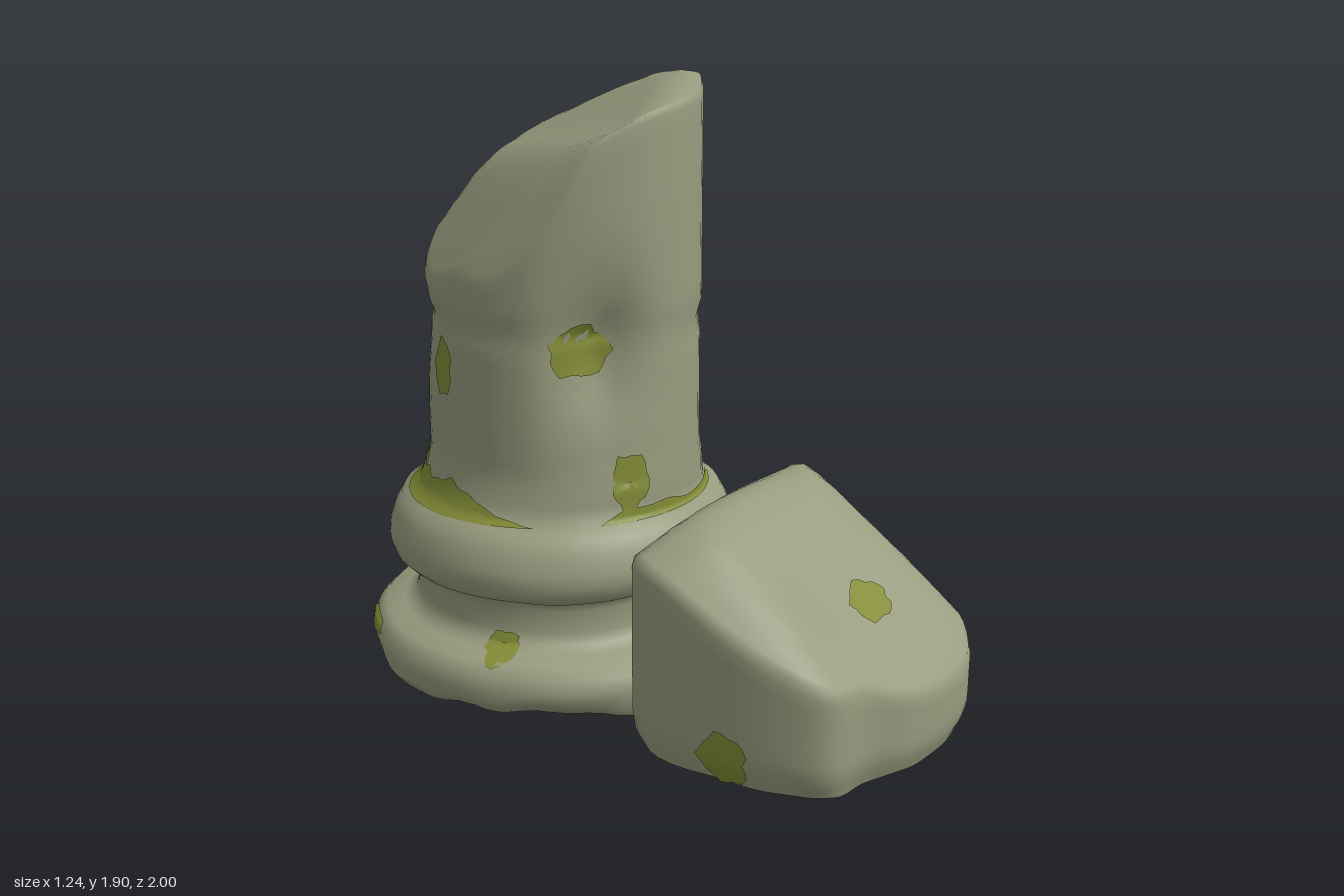
import * as THREE from 'three';

const stone = new THREE.MeshStandardMaterial({ color: 0x989b7e, side: THREE.DoubleSide });
stone.name = 'weathered stone';
const moss = new THREE.MeshStandardMaterial({ color: 0x828c36, side: THREE.DoubleSide });
moss.name = 'moss';

const SEGS = 72;
const rad = THREE.MathUtils.degToRad;
const bump = (d, w) => Math.exp(-(d * d) / (w * w));
const smin = (k, ...v) => v.reduce((a, b) => {
  const h = Math.max(k - Math.abs(a - b), 0) / k;
  return Math.min(a, b) - h * h * k * 0.25;
});
const wobble = (a, s = 0) => Math.sin(5 * a + s) * 0.5 + Math.sin(9 * a + 2 * s + 1) * 0.3 + Math.sin(17 * a + s) * 0.2;
const angDiff = (a, b) => Math.atan2(Math.sin(a - b), Math.cos(a - b));

// Grid of points joined into a surface; columns wrap round when closed
function loft(rows, cols, closed, point) {
  const pos = [], idx = [], n = closed ? cols : cols + 1;
  for (let j = 0; j <= rows; j++) for (let i = 0; i < n; i++) pos.push(...point(i / cols, j));
  for (let j = 0; j < rows; j++) for (let i = 0; i < cols; i++) {
    const a = j * n + i, b = j * n + ((i + 1) % n), c = b + n, d = a + n;
    idx.push(a, b, c, a, c, d);
  }
  const g = new THREE.BufferGeometry();
  g.setAttribute('position', new THREE.Float32BufferAttribute(pos, 3));
  g.setIndex(idx);
  g.computeVertexNormals();
  return g;
}

function add(parent, name, geo, mat) {
  const m = new THREE.Mesh(geo, mat);
  m.name = name;
  parent.add(m);
}

// ---- Column ----
// Moulding profile: hollow underside, plinth ring, neck, upper ring, shaft foot
const profile = [
  [0.47, 0.2], [0.5, 0.12], [0.54, 0.07], [0.585, 0.05], [0.615, 0.085], [0.622, 0.13], [0.612, 0.175],
  [0.58, 0.205], [0.52, 0.218], [0.485, 0.235], [0.472, 0.27], [0.47, 0.34], [0.485, 0.375], [0.52, 0.385],
  [0.545, 0.41], [0.558, 0.45], [0.555, 0.49], [0.538, 0.54], [0.515, 0.58], [0.48, 0.6], [0.455, 0.62],
  [0.442, 0.66], [0.433, 0.72],
];
const FOOT = 0.72;

// Puts a ring point in place: round mouldings, slightly oval shaft set forward
function place(a, r, y) {
  const k = THREE.MathUtils.smoothstep(y, 0.56, FOOT);
  return [r * Math.sin(a) * (1 - 0.035 * k), y, -0.378 + 0.02 * k + r * Math.cos(a) * (1 + 0.035 * k)];
}

// Broken top: sloping plane, a steep break at the back left, worn edges
const breakHeight = (x, z) => {
  const t = -0.8 * x - 0.6 * z - 0.36;
  const d = 0.82 * x - 0.574 * (z + 0.358);
  return smin(0.06, 1.855 + 0.33 * x + 0.35 * z, 1.92, 1.65 - 1.3 * t, 1.84 + 0.5 * (0.09 - z),
    1.83 + 0.8 * (0.41 - x), 1.68 + 2.4 * (z + 0.68), 1.74 + 3 * (x + 0.28),
    1.7 + 0.9 * (0.43 - d)) + 0.008 * Math.sin(9 * x + 5 * z);
};

// Shaft radius with a drum joint and worn hollows
function shaftRadius(a, y) {
  let r = 0.428 + (y > 1.18 ? 0.005 : 0) + 0.004 * wobble(a, 2);
  r -= 0.012 * bump(y - 1.18, 0.025);
  r -= 0.075 * bump(angDiff(a, rad(-38)), 0.33) * bump(y - 1.12, 0.2);
  r -= 0.035 * bump(angDiff(a, rad(62)), 0.25) * bump(y - 1.05, 0.14);
  r -= 0.02 * bump(angDiff(a, rad(-135)), 0.5) * bump(y - 1.15, 0.15);
  return r;
}

function columnRadius(a, y) {
  if (y >= FOOT) return shaftRadius(a, y);
  for (let i = 4; i < profile.length; i++) {
    const [r1, y1] = profile[i], [r0, y0] = profile[i - 1];
    if (y <= y1) return r0 + ((r1 - r0) * (y - y0)) / (y1 - y0);
  }
}

const columnPoint = (a, y, off = 0) => place(a, columnRadius(a, y) + off, y);

const capScales = [0.985, 0.95, 0.89, 0.8, 0.7, 0.6, 0.5, 0.4, 0.3, 0.2, 0.1, 0];

function columnGeometry() {
  const P = profile.length, SIDE = 20;
  return loft(P + SIDE + capScales.length - 1, SEGS, true, (u, j) => {
    const a = u * Math.PI * 2;
    if (j < P) {
      const [r, y] = profile[j];
      const chip = j < 5 ? 0.028 * wobble(a, 1) * (j > 0 ? 1 : 0.3) : 0.004 * wobble(a, j * 0.2);
      const [x, , z] = place(a, r, y);
      return [x, y + chip, z];
    }
    const [ex, , ez] = place(a, 0.43, 1);
    const rimH = breakHeight(ex, ez) - 0.02;
    if (j < P + SIDE) return columnPoint(a, FOOT + ((rimH - FOOT) * (j - P + 1)) / SIDE);
    const [x, , z] = place(a, shaftRadius(a, rimH) * capScales[j - P - SIDE], 1);
    return [x, breakHeight(x, z), z];
  });
}

// ---- Fallen block ----
const outline = new THREE.CatmullRomCurve3([
  [0.05, 0.995], [0.25, 0.97], [0.4, 0.85], [0.545, 0.67], [0.52, 0.55], [0.53, 0.36], [0.42, 0.27], [0.2, 0.22],
  [0, 0.2], [-0.32, 0.17], [-0.46, 0.25], [-0.485, 0.5], [-0.45, 0.75], [-0.39, 0.86], [-0.25, 0.9], [-0.12, 0.965],
].map(([x, z]) => new THREE.Vector3(x, 0, z)), true, 'centripetal');

// Sloping face with bevelled sides and front corners
const blockHeight = (x, z) => {
  const w = 0.574 * (z - 0.58);
  return smin(0.05, 0.71, 1.02 - 0.78 * z, 0.57 + 1.1 * (z - 0.17), 0.4 + 2 * (0.53 - x),
    0.62 + 0.5 * (x + 0.47), 0.4 + 1.1 * (0.45 + 0.82 * x - w), 0.28 + 1.2 * (0.5 - 0.82 * x - w))
    + 0.008 * Math.sin(8 * x + 2) * Math.sin(7 * z);
};

function blockSide(u, y, off = 0) {
  const p = outline.getPoint(((u % 1) + 1) % 1);
  const s = 1 - 0.08 * bump(y, 0.06) + off * 2;
  return [p.x * s, y, 0.58 + (p.z - 0.58) * s];
}

function blockGeometry() {
  const SIDE = 9;
  return loft(SIDE + capScales.length, SEGS, true, (u, j) => {
    const rim = outline.getPoint(u);
    const rimH = blockHeight(rim.x, rim.z) - 0.025;
    if (j <= SIDE) {
      const foot = 0.015 + 0.01 * wobble(u * 6.2832, 3);
      return blockSide(u, foot + ((rimH - foot) * j) / SIDE);
    }
    const s = capScales[j - SIDE - 1];
    const x = rim.x * s, z = 0.58 + (rim.z - 0.58) * s;
    return [x, blockHeight(x, z), z];
  });
}

// ---- Moss ----
// Rounded patch laid over a two-parameter surface
const patch = (surface, u, v, ru, rv) => loft(4, 20, true, (t, j) => {
  const a = t * Math.PI * 2, k = (1 - j / 4) * (1 + 0.18 * wobble(a, u * 7));
  return surface(u + ru * k * Math.cos(a), v + rv * k * Math.sin(a));
});

// Ragged strip running round the column
const band = (from, to, low, height, off) => loft(5, 90, false, (t, j) => {
  const a = rad(from + (to - from) * t);
  const ends = Math.min(1, 8 * t, 8 * (1 - t));
  return columnPoint(a, low(a) + (height(a) * ends * j) / 5, off);
});

export function createModel() {
  const model = new THREE.Group();
  const column = new THREE.Group();
  column.name = 'brokenColumn';
  const block = new THREE.Group();
  block.name = 'fallenBlock';
  model.add(column, block);

  add(column, 'columnBody', columnGeometry(), stone);
  add(block, 'blockBody', blockGeometry(), stone);

  // Moss around the foot of the shaft is thickest at the back left
  const footLow = (a) => 0.611 - 0.014 * bump(angDiff(a, rad(-130)), 0.9);
  const footHeight = (a) => 0.035 + 0.016 * wobble(a, 4)
    + (0.075 + 0.05 * wobble(a * 2, 1)) * bump(angDiff(a, rad(-148)), 0.95);
  const neckHeight = (a) => 0.036 + 0.012 * Math.cos(a) + 0.008 * wobble(a, 2);

  // Stains show on both faces of the hollow stone
  for (const off of [0.007, -0.007]) {
    add(column, 'shaftFootMoss', band(-38, 42, footLow, footHeight, off), moss);
    add(column, 'shaftFootMoss', band(52, 298, footLow, footHeight, off), moss);
    add(column, 'neckMoss', band(-28, 88, () => 0.217, neckHeight, off), moss);
    const onColumn = (a, y) => columnPoint(a, y, off);
    [
      [-46, 1.13, 14, 0.08], [-27, 0.73, 8, 0.09], [-113, 1.04, 8, 0.09],
      [-131, 0.168, 10, 0.024], [-73, 0.235, 6, 0.035],
    ].forEach(([deg, y, w, h]) => add(column, 'columnMossPatch', patch(onColumn, rad(deg), y, rad(w), h), moss));

    const onSide = (u, y) => blockSide(u, y, off);
    add(block, 'rightSideMoss', patch(onSide, 4.25 / 16, 0.365, 0.008, 0.04), moss);
    add(block, 'leftSideMoss', patch(onSide, 11.25 / 16, 0.1, 0.018, 0.085), moss);
  }

  // Moss on the sloping face of the block
  const onFace = (x, w) => [x, blockHeight(x, -w) + 0.008, -w];
  add(block, 'faceMoss', patch(onFace, 0.03, -0.74, 0.085, 0.055), moss);
  return model;
}
